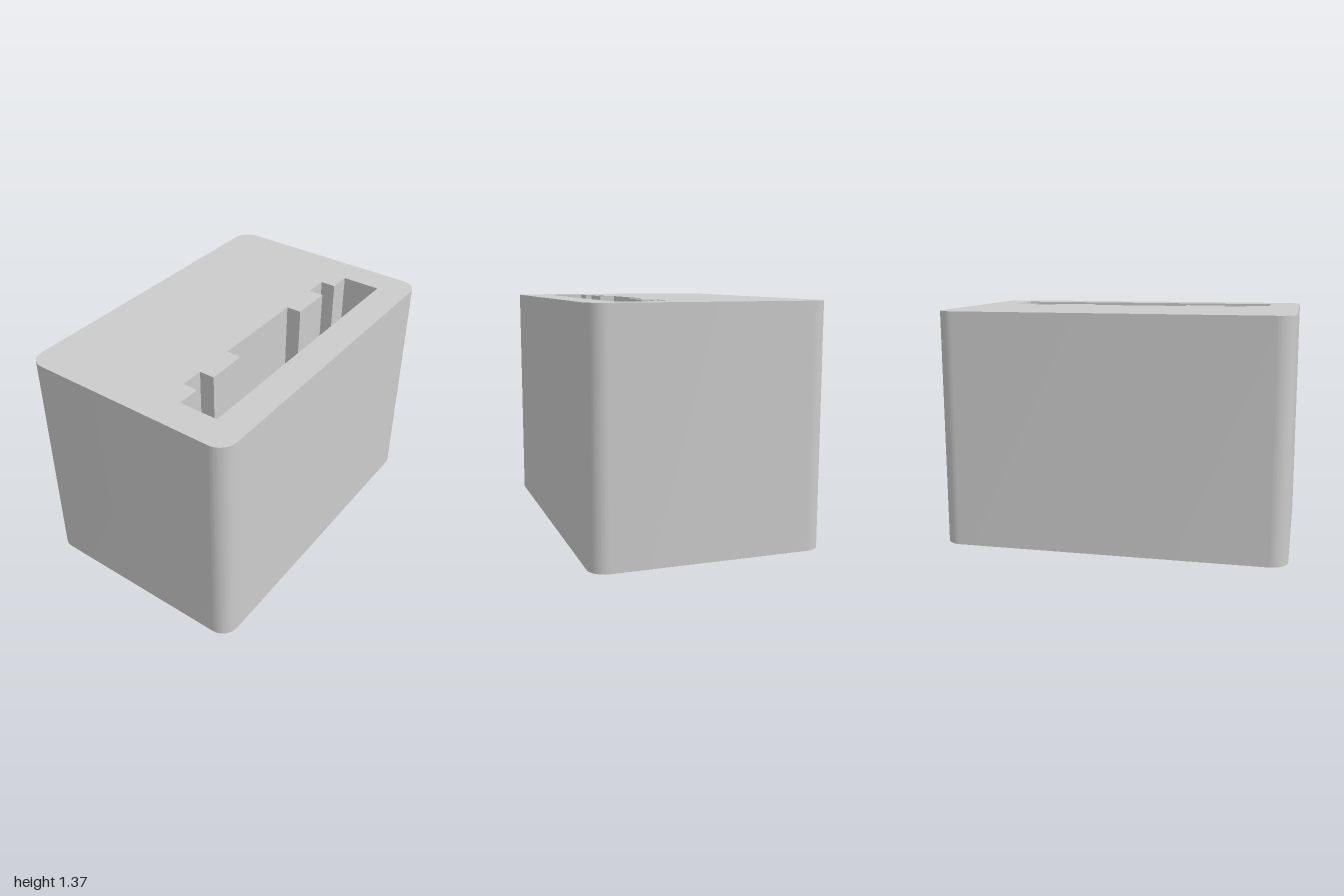
import * as THREE from 'three';
import { toCreasedNormals } from 'three/addons/utils/BufferGeometryUtils.js';

const W = 0.66, D = 1, H = 1.365, R = 0.1; // half width, half depth, height, corner radius
const LEDGE = 0.18; // height of the pocket floor

// Plan outlines are drawn in (x, -z) and laid flat, so plan "up" becomes the back.
function outerShape() {
  const s = new THREE.Shape();
  const corners = [[W - R, D - R], [R - W, D - R], [R - W, R - D], [W - R, R - D]];
  corners.forEach(([x, y], i) =>
    s.absarc(x, y, R, i * Math.PI / 2, (i + 1) * Math.PI / 2, false));
  return s;
}

// Clockwise slot outline: two side notches, plus the centre pocket if wanted.
function slotPoints(withPocket) {
  const a = 0.155, b = 0.245, c = 0.475;
  const pocket = withPocket ? [[b, -0.3], [a, -0.3], [a, 0.3], [b, 0.3]] : [];
  return [
    [b, 0.82], [c, 0.82], [c, -0.815], [b, -0.815],
    [b, -0.68], [a, -0.68], [a, -0.54], [b, -0.54],
    ...pocket,
    [b, 0.55], [a, 0.55], [a, 0.69], [b, 0.69],
  ].map(([x, y]) => new THREE.Vector2(x, y));
}

// Vertical wall along a closed outline, with the solid on the left of travel.
function wall(points, y0, y1) {
  const pos = [];
  points.forEach((p, i) => {
    const q = points[(i + 1) % points.length];
    if (p.distanceTo(q) < 1e-6) return;
    pos.push(p.x, y0, -p.y, q.x, y0, -q.y, q.x, y1, -q.y);
    pos.push(p.x, y0, -p.y, q.x, y1, -q.y, p.x, y1, -p.y);
  });
  const g = new THREE.BufferGeometry();
  g.setAttribute('position', new THREE.Float32BufferAttribute(pos, 3));
  return toCreasedNormals(g, Math.PI / 6);
}

// Flat end face with the slot cut out, facing up or down.
function cap(hole, y, faceDown) {
  const shape = outerShape();
  shape.holes.push(new THREE.Path(hole));
  const g = new THREE.ShapeGeometry(shape, 12);
  g.rotateX(-Math.PI / 2).translate(0, y, 0);
  if (faceDown) {
    g.index.array.reverse();
    g.computeVertexNormals();
  }
  return g;
}

export function createModel() {
  const group = new THREE.Group();
  group.name = 'slottedBlock';
  const material = new THREE.MeshStandardMaterial({ color: 0xcccccc });
  const add = (name, geometry) => {
    const mesh = new THREE.Mesh(geometry, material);
    mesh.name = name;
    group.add(mesh);
  };

  const upperSlot = slotPoints(true), lowerSlot = slotPoints(false);

  // Block with rounded vertical corners
  add('outerWall', wall(outerShape().getPoints(12), 0, H));
  add('topFace', cap(upperSlot, H, false));
  add('bottomFace', cap(lowerSlot, 0, true));

  // Slot through the block; the centre pocket stops at a ledge
  add('upperSlotWall', wall(upperSlot, LEDGE, H));
  add('lowerSlotWall', wall(lowerSlot, 0, LEDGE));
  add('pocketLedge', new THREE.PlaneGeometry(0.09, 0.6)
    .rotateX(-Math.PI / 2).translate(0.2, LEDGE, 0));

  return group;
}
